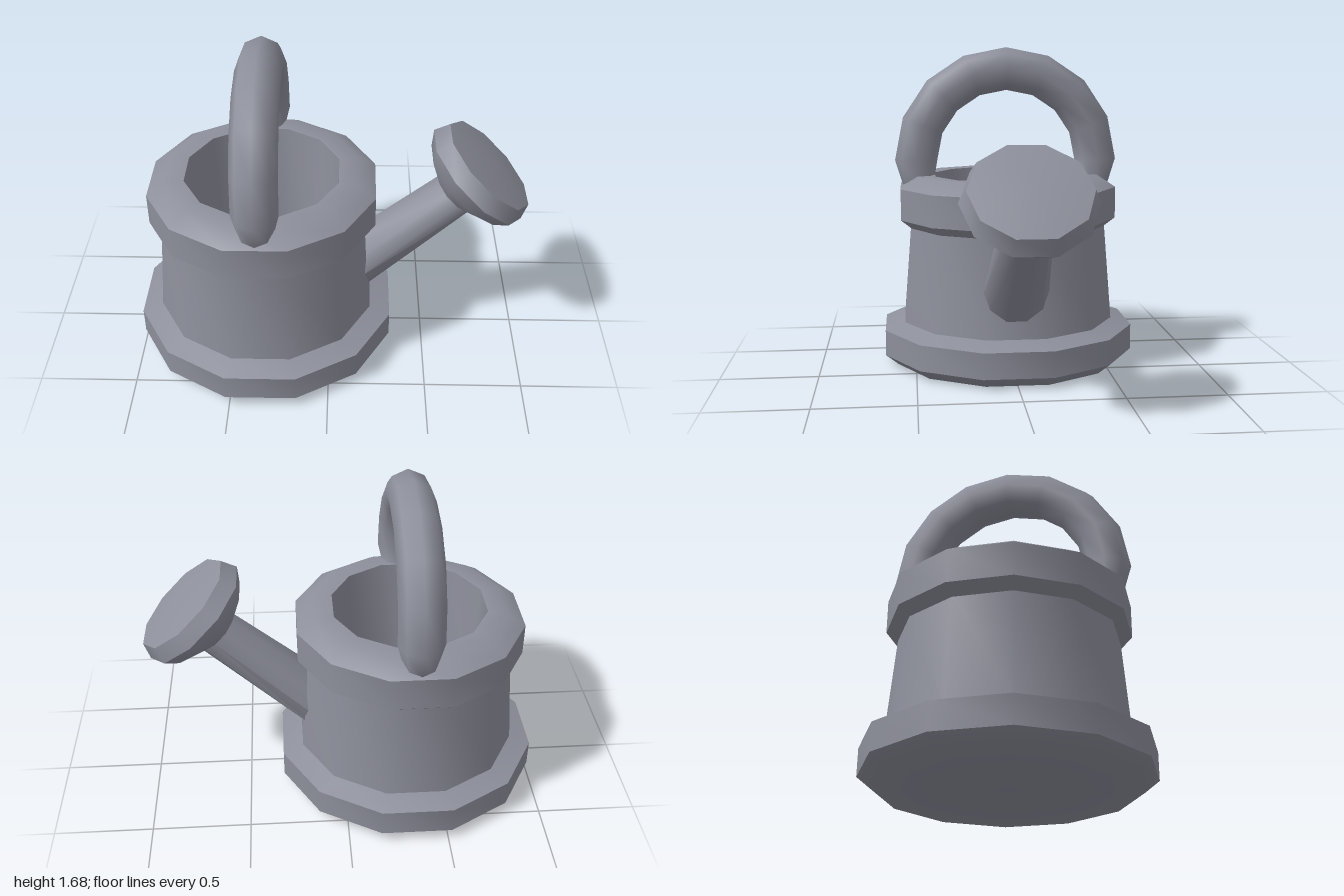
import * as THREE from 'three';
import { toCreasedNormals } from 'three/addons/utils/BufferGeometryUtils.js';

const CREASE = 0.72;

// Faceted lathe; profile is [apothem, y], so flats land on the given widths
function lathe(profile, sides, phase) {
  const k = 1 / Math.cos(Math.PI / sides);
  const points = profile.map(([r, y]) => new THREE.Vector2(r * k, y));
  return toCreasedNormals(new THREE.LatheGeometry(points, sides, phase, Math.PI * 2), CREASE);
}

export function createModel() {
  const group = new THREE.Group();
  const metal = new THREE.MeshStandardMaterial({ color: 0x8d8f9b });
  const add = (name, geometry, x = 0, y = 0, z = 0) => {
    const mesh = new THREE.Mesh(geometry, metal);
    mesh.name = name;
    mesh.position.set(x, y, z);
    group.add(mesh);
    return mesh;
  };
  const bodyX = -0.34;

  // Can: base flange, tapered wall, thick collar and hollow inside
  add('body', lathe([
    [0, 0], [0.595, 0], [0.66, 0.055], [0.66, 0.19], [0.555, 0.225],
    [0.515, 0.73], [0.57, 0.775], [0.57, 0.94], [0.48, 1.0],
    [0.385, 1.0], [0.345, 0.22], [0, 0.22],
  ], 12, Math.PI / 12), bodyX);

  // Arched handle: part of a torus whose end rings pinch into the collar
  const step = Math.PI / 8, segments = 10, ringR = 0.485, tubeR = 0.113;
  const arch = new THREE.TorusGeometry(ringR, tubeR, 8, segments, step * segments);
  arch.rotateZ(-step);
  const p = arch.attributes.position;
  for (let j = 0; j <= 8; j++) {
    for (const i of [0, segments]) {
      const n = j * (segments + 1) + i, side = i ? -1 : 1;
      const a = (j / 8) * Math.PI * 2;
      p.setXYZ(n, side * (0.475 + 0.08 * Math.cos(a)), -0.14, 0.08 * Math.sin(a));
    }
  }
  arch.rotateY(Math.PI / 2);
  add('handle', arch, bodyX, 1.08);

  // Spout: upright ring at the wall blending to a tilted ring at the head
  const pipe = new THREE.CylinderGeometry(1, 1, 1, 10, 1, true);
  const q = pipe.attributes.position;
  for (let i = 0; i < q.count; i++) {
    const u = q.getX(i), w = q.getZ(i);
    if (q.getY(i) > 0) q.setXYZ(i, 0.648 + u * 0.09, 0.886 - u * 0.08, w * 0.123);
    else q.setXYZ(i, 0.157 + u * 0.012, 0.442 - u * 0.171, w * 0.168);
  }
  add('spout', toCreasedNormals(pipe, CREASE));

  // Sprinkler head with a slightly domed face
  const head = add('sprinklerHead', lathe([
    [0.112, -0.24], [0.252, -0.15], [0.3, -0.082], [0.27, 0], [0, 0.035],
  ], 10, 0), 0.795, 1.05);
  head.rotation.z = -0.729;

  return group;
}
